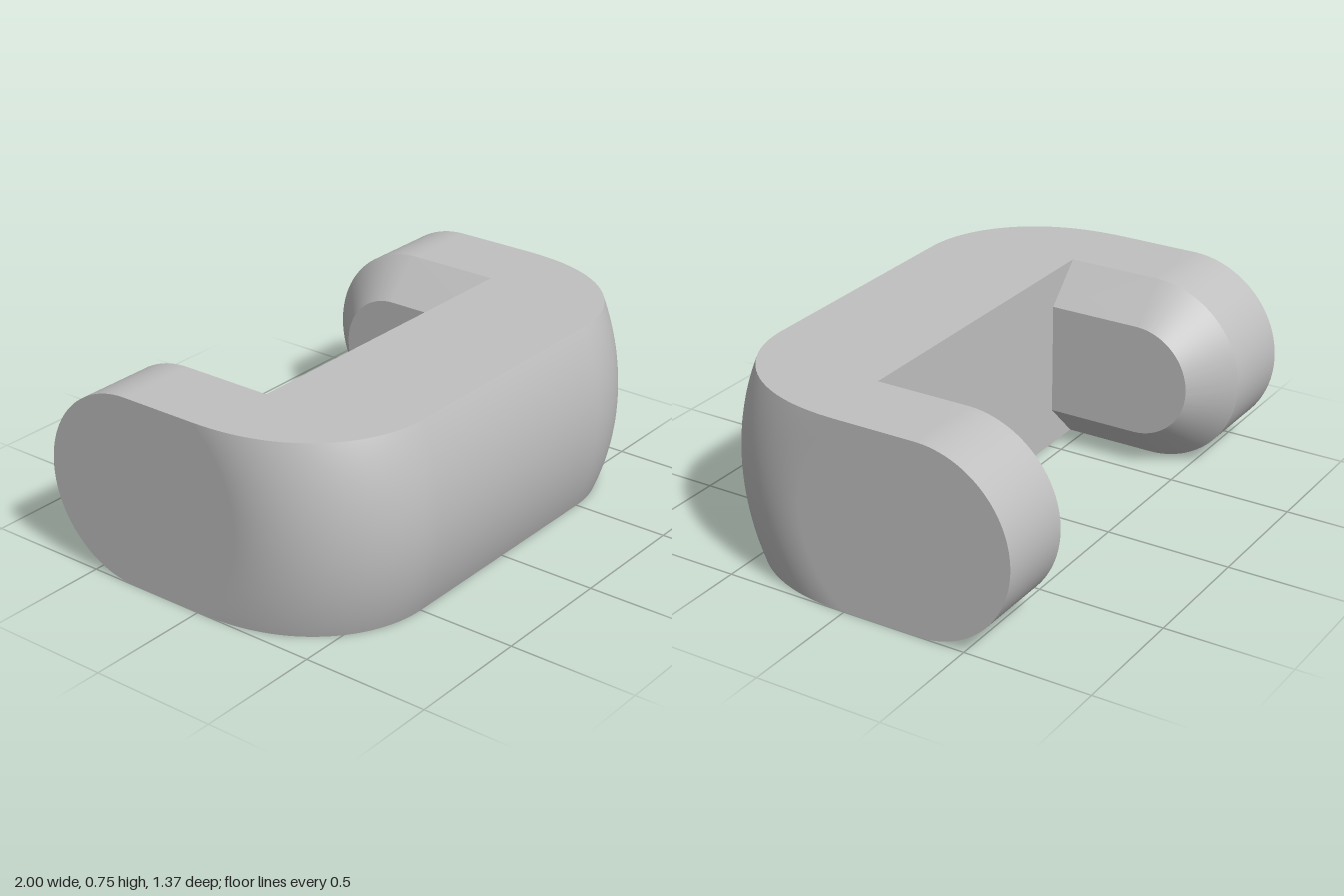
import * as THREE from 'three';
import { toCreasedNormals } from 'three/addons/utils/BufferGeometryUtils.js';

const H = 0.375;        // half height
const AXIS = -0.29;     // z of the axis the bulged front curves around
const R = 0.975;        // radius of the bulged front
const FILLET = 0.5;     // rounding of the front corners
const BACK = -0.31;     // z of the centre of the rounded arm ends
const WALL = 0.06;      // z of the inner wall
const ARM = 0.675;      // inner x of the arms
const SEG = 28;

// Outer profile from x = -1 to x = 1: [x, distance from axis, normal x, normal outward]
function frontProfile() {
  const half = [];
  for (let i = 0; i <= SEG; i++) {
    const a = (i / SEG) * Math.PI / 2, s = Math.sin(a), c = Math.cos(a);
    half.push([1 - FILLET + FILLET * s, R - FILLET + FILLET * c, s, c]);
  }
  const mirrored = half.map(([x, r, s, c]) => [-x, r, -s, c]).reverse();
  return [...mirrored, ...half];
}

const zAt = (r, y) => AXIS + Math.sqrt(r * r - y * y);

// Bulged front with rounded corners: a plane wrapped onto the revolved profile
function frontGeometry(profile) {
  const cols = profile.length - 1;
  const geo = new THREE.PlaneGeometry(1, 1, cols, SEG);
  const { position, normal, uv } = geo.attributes;
  for (let i = 0; i < position.count; i++) {
    const [x, r, nx, nr] = profile[Math.round(uv.getX(i) * cols)];
    const y = (uv.getY(i) * 2 - 1) * H;
    const z = zAt(r, y);
    position.setXYZ(i, x, y, z);
    normal.setXYZ(i, nx, nr * y / r, nr * (z - AXIS) / r);
  }
  return geo;
}

// Flat cap of the body, drawn in (x, -z)
function capGeometry(profile) {
  const side = zAt(R - FILLET, H);
  const pts = profile.map(([x, r]) => [x, zAt(r, H)]);
  pts.push([ARM, side], [ARM, WALL], [-ARM, WALL], [-ARM, side]);
  const shape = new THREE.Shape(pts.map(([x, z]) => new THREE.Vector2(x, -z)));
  return new THREE.ShapeGeometry(shape);
}

// Arm side outline, drawn in (-z, y): rounded back, front edge meets the corner rounding
function armGeometry() {
  const r = R - FILLET, a = Math.asin(H / r);
  const shape = new THREE.Shape();
  shape.absarc(-BACK, 0, H, -Math.PI / 2, Math.PI / 2, false);
  shape.absarc(-AXIS, 0, r, Math.PI - a, Math.PI + a, false);
  const geo = new THREE.ExtrudeGeometry(shape, { depth: 1 - ARM, bevelEnabled: false, curveSegments: 40 });
  return toCreasedNormals(geo.rotateY(Math.PI / 2), 0.4);
}

// Chamfered pad on the inside of an arm; its front and far bevels sit inside the body
function padGeometry() {
  const bevel = 0.15, r = H - bevel;
  const shape = new THREE.Shape();
  shape.moveTo(-0.25, -r);
  shape.lineTo(-BACK, -r);
  shape.absarc(-BACK, 0, r, -Math.PI / 2, Math.PI / 2, false);
  shape.lineTo(-0.25, r);
  const geo = new THREE.ExtrudeGeometry(shape, {
    depth: 0.02, bevelEnabled: true, bevelSize: bevel, bevelThickness: bevel,
    bevelSegments: 1, curveSegments: 40,
  });
  return toCreasedNormals(geo.rotateY(Math.PI / 2), 0.4);
}

export function createModel() {
  const model = new THREE.Group();
  model.name = 'bracket';
  const grey = new THREE.MeshStandardMaterial({ color: 0xc0c0c0 });
  grey.name = 'grey';

  const add = (name, geometry) => {
    const mesh = new THREE.Mesh(geometry, grey);
    mesh.name = name;
    mesh.position.y = H;
    model.add(mesh);
    return mesh;
  };

  const profile = frontProfile();
  add('curvedFront', frontGeometry(profile));

  // Top and bottom of the body
  const cap = capGeometry(profile);
  const top = add('bodyTop', cap);
  top.rotation.x = -Math.PI / 2;
  top.position.y = 2 * H;
  const bottom = add('bodyBottom', cap.clone().scale(1, -1, 1));
  // restore the winding after mirroring
  const index = bottom.geometry.index;
  for (let i = 0; i < index.count; i += 3) {
    const b = index.getX(i + 1);
    index.setX(i + 1, index.getX(i + 2));
    index.setX(i + 2, b);
  }
  bottom.rotation.x = Math.PI / 2;
  bottom.position.y = 0;

  // Inner wall between the arms
  const wall = add('innerWall', new THREE.PlaneGeometry(2 * ARM, 2 * H));
  wall.rotation.y = Math.PI;
  wall.position.z = WALL;

  // Arms and their chamfered pads
  const arm = armGeometry(), pad = padGeometry();
  add('leftArm', arm).position.x = ARM;
  add('rightArm', arm).position.x = -1;
  add('leftPad', pad).position.x = ARM;
  add('rightPad', pad).position.x = -ARM - 0.02;

  return model;
}
